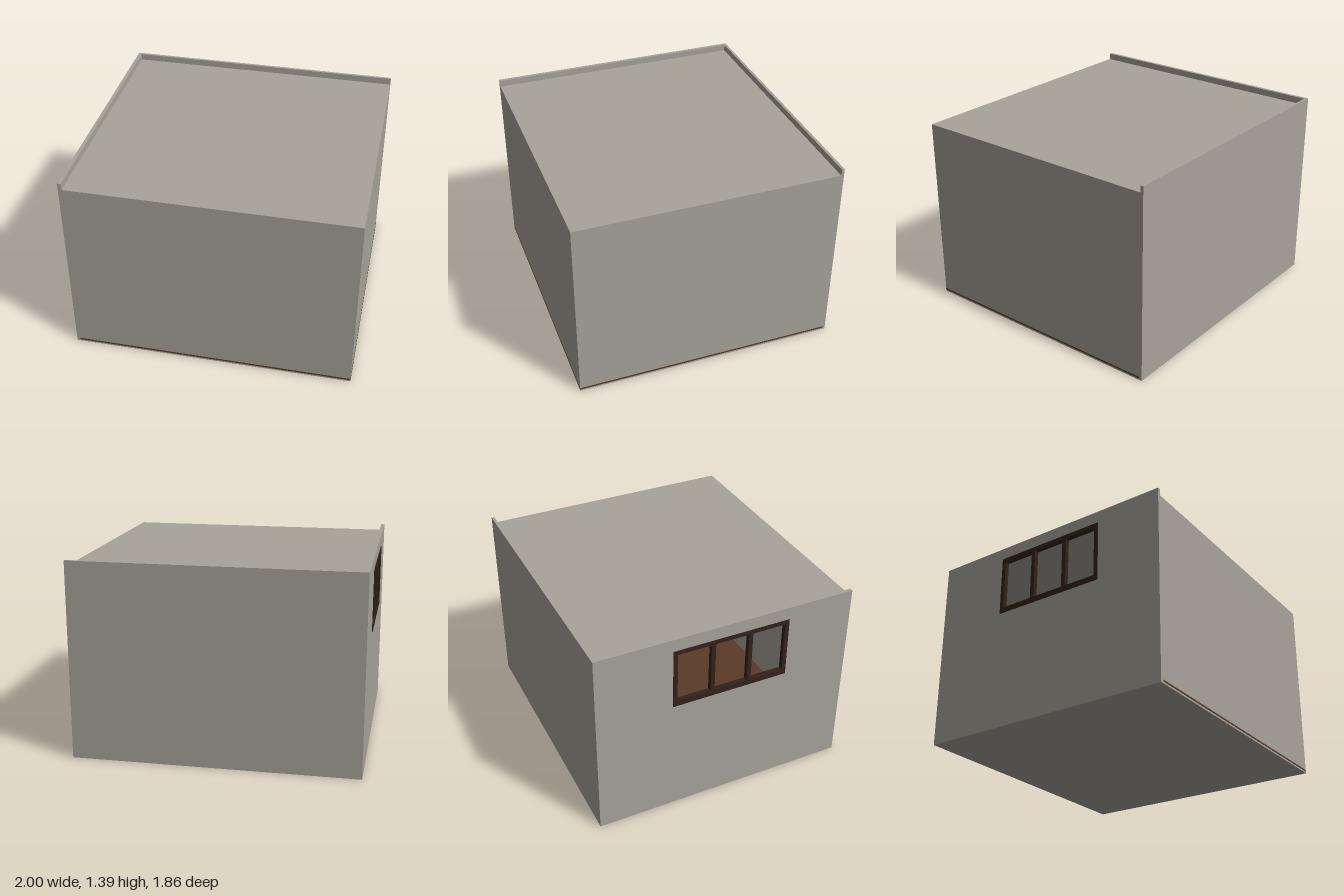
import * as THREE from 'three';

export function createModel() {
  const model = new THREE.Group();
  const plaster = new THREE.MeshStandardMaterial({ name: 'plaster', color: 0xa8a49b });
  const darkWood = new THREE.MeshStandardMaterial({ name: 'dark wood', color: 0x33221a });
  const floorWood = new THREE.MeshStandardMaterial({ name: 'floor wood', color: 0x5a3a26 });

  // Box given by its lower and upper corners
  function box(name, material, [x0, y0, z0], [x1, y1, z1], parent = model) {
    const mesh = new THREE.Mesh(new THREE.BoxGeometry(x1 - x0, y1 - y0, z1 - z0), material);
    mesh.position.set((x0 + x1) / 2, (y0 + y1) / 2, (z0 + z1) / 2);
    mesh.name = name;
    parent.add(mesh);
    return mesh;
  }

  const top = 1.39, roofY = 1.343, inX = -0.97, outX = -0.995, inZ = -0.91, end = 0.93;
  const win = { z0: -0.39, z1: 0.45, y0: 0.86, y1: 1.3 };

  // Foundation, floor with a slightly exposed edge, and roof
  box('foundation', plaster, [inX, 0, inZ], [1, 0.013, end]);
  box('floor', floorWood, [inX, 0.013, inZ], [1.002, 0.024, end + 0.002]);
  box('roof', plaster, [inX, roofY - 0.02, inZ], [1, roofY, end]);

  // Thin front and side walls that stop at the roof
  box('frontWall', plaster, [inX, 0.024, end - 0.01], [1, roofY - 0.02, end]);
  box('sideWall', plaster, [0.99, 0.024, inZ], [1, roofY - 0.02, end - 0.01]);

  // Thick back wall rising into a parapet
  box('backWall', plaster, [outX, 0, -0.93], [1, top, inZ]);

  // Thick window wall rising into a parapet, outlined in z and y
  const outline = new THREE.Shape([
    [inZ, 0], [end, 0], [end, top], [inZ, top],
  ].map(([z, y]) => new THREE.Vector2(z, y)));
  outline.holes.push(new THREE.Path([
    [win.z0, win.y0], [win.z0, win.y1], [win.z1, win.y1], [win.z1, win.y0],
  ].map(([z, y]) => new THREE.Vector2(z, y))));
  const wallGeometry = new THREE.ExtrudeGeometry(outline, { depth: inX - outX, bevelEnabled: false });
  wallGeometry.rotateY(-Math.PI / 2);
  const windowWall = new THREE.Mesh(wallGeometry, plaster);
  windowWall.position.x = inX;
  windowWall.name = 'windowWall';
  model.add(windowWall);

  // Three-light window frame
  const frame = new THREE.Group();
  frame.name = 'windowFrame';
  model.add(frame);
  const x0 = -1, x1 = -0.966, bar = 0.03;
  box('sill', darkWood, [x0, win.y0, win.z0], [x1, win.y0 + 0.04, win.z1], frame);
  box('head', darkWood, [x0, win.y1 - bar, win.z0], [x1, win.y1, win.z1], frame);
  for (let i = 0; i < 4; i++) {
    const z = win.z0 + (win.z1 - win.z0 - bar) * i / 3;
    box('upright', darkWood, [x0, win.y0 + 0.04, z], [x1, win.y1 - bar, z + bar], frame);
  }
  return model;
}
